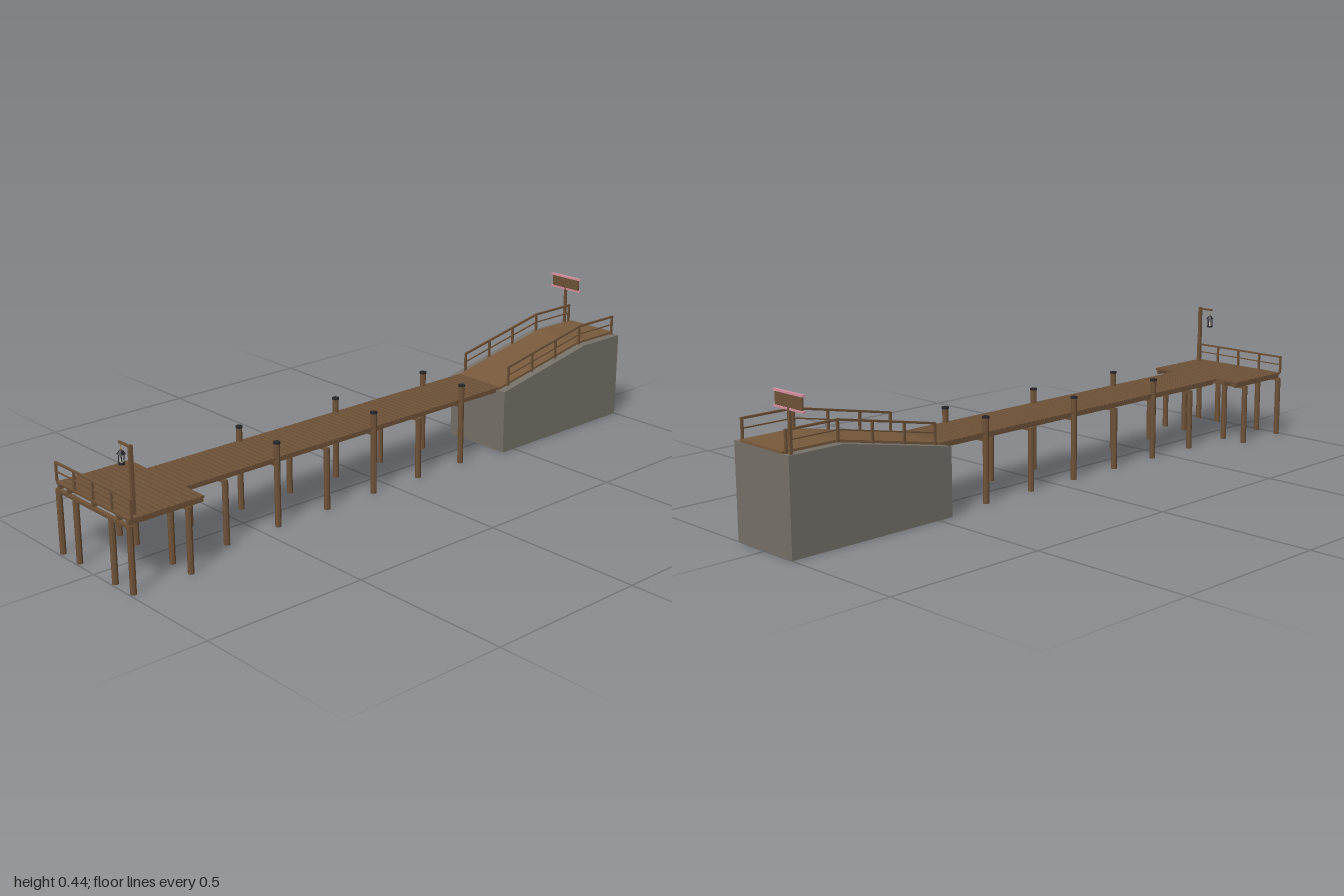
import * as THREE from 'three';

const mat = (color, extra = {}) => new THREE.MeshStandardMaterial({ color, flatShading: true, ...extra });
const WOOD = mat(0x6e5238), PATH = mat(0x785a3c), STONE = mat(0x757068);
const SHELL = mat(0x757068, { side: THREE.DoubleSide });
const IRON = mat(0x26262a), PINK = mat(0xd8919f), BRASS = mat(0xa08a40);

function add(parent, name, geo, material, x = 0, y = 0, z = 0) {
  const m = new THREE.Mesh(geo, material);
  m.name = name;
  m.position.set(x, y, z);
  parent.add(m);
  return m;
}
// box given by its centre in x and z and its bottom and top heights
const box = (p, name, m, x, z, y0, y1, w, d) =>
  add(p, name, new THREE.BoxGeometry(w, y1 - y0, d), m, x, (y0 + y1) / 2, z);
const pole = (p, name, m, x, z, y0, y1, r, sides = 8) =>
  add(p, name, new THREE.CylinderGeometry(r, r, y1 - y0, sides), m, x, (y0 + y1) / 2, z);
// square bar between two points
function bar(p, name, m, a, b, t) {
  const A = new THREE.Vector3(...a), B = new THREE.Vector3(...b);
  const mesh = add(p, name, new THREE.BoxGeometry(t, t, A.distanceTo(B)), m);
  mesh.position.copy(A).lerp(B, 0.5);
  mesh.lookAt(B);
  return mesh;
}
// prism across x from a [z, y] outline
function prism(outline, width) {
  const s = new THREE.Shape(outline.map(([z, y]) => new THREE.Vector2(z, y)));
  const g = new THREE.ExtrudeGeometry(s, { depth: width, bevelEnabled: false });
  return g.translate(0, 0, -width / 2).rotateY(-Math.PI / 2);
}
function group(parent, name) {
  const g = new THREE.Group();
  g.name = name;
  parent.add(g);
  return g;
}

// planks laid across x between z0 and z1
function planks(p, z0, z1, width, count) {
  const pitch = (z1 - z0) / count;
  for (let i = 0; i < count; i++)
    box(p, 'plank', WOOD, 0, z0 + pitch * (i + 0.5), 0.205, 0.211, width, pitch * 0.82);
}

function buildPier(root) {
  const deck = group(root, 'deck');
  planks(deck, -0.46, 0.755, 0.178, 66);
  planks(deck, 0.755, 0.993, 0.346, 13);

  // long joists under the planks
  const frame = group(root, 'frame');
  for (const x of [-0.075, -0.025, 0.025, 0.075])
    box(frame, 'walkwayJoist', WOOD, x, 0.15, 0.192, 0.205, 0.009, 1.2);
  for (const x of [-0.163, -0.118, 0.118, 0.163])
    box(frame, 'platformJoist', WOOD, x, 0.874, 0.192, 0.205, 0.009, 0.235);
  box(frame, 'platformJoist', WOOD, 0, 0.874, 0.192, 0.205, 0.009, 0.235);

  // pile rows with a cross beam each; every other row from the third stands tall
  const piles = group(root, 'piles');
  for (let i = 0; i < 8; i++) {
    const z = 0.988 - i * 0.1825;
    const wide = i < 2;
    const tall = i >= 3 && i % 2 === 1;
    box(frame, 'crossBeam', WOOD, 0, z, 0.183, 0.192, wide ? 0.35 : 0.182, 0.012);
    for (const s of [-1, 1]) {
      pole(piles, 'pile', WOOD, s * 0.085, z, 0, tall ? 0.252 : 0.188, 0.009);
      if (tall) pole(piles, 'pileCap', IRON, s * 0.085, z, 0.251, 0.257, 0.0105);
      if (wide) pole(piles, 'outerPile', WOOD, s * 0.168, z, 0, 0.188, 0.009);
    }
  }
}

function buildEndRail(root) {
  const rail = group(root, 'endRailing');
  const z = 0.987;
  for (const x of [-0.176, -0.088, 0, 0.088, 0.176])
    box(rail, 'railPost', WOOD, x, z, 0.21, 0.265, 0.006, 0.006);
  box(rail, 'topRail', WOOD, 0, z, 0.262, 0.267, 0.358, 0.007);
  box(rail, 'midRail', WOOD, 0, z, 0.237, 0.24, 0.352, 0.004);
}

function buildLamp(root) {
  const lamp = group(root, 'lampPost');
  const z = 0.963, x = 0.108;
  box(lamp, 'post', WOOD, 0.151, z, 0.208, 0.4, 0.01, 0.01);
  box(lamp, 'arm', WOOD, 0.127, z, 0.392, 0.398, 0.052, 0.006);
  const lantern = group(lamp, 'lantern');
  pole(lantern, 'hook', BRASS, x, z, 0.374, 0.393, 0.0009, 6);
  add(lantern, 'ring', new THREE.TorusGeometry(0.0022, 0.0006, 6, 12), BRASS, x, 0.379, z);
  add(lantern, 'roof', new THREE.CylinderGeometry(0.003, 0.0125, 0.011, 6), IRON, x, 0.3695, z);
  pole(lantern, 'base', IRON, x, z, 0.335, 0.339, 0.0095, 6);
  pole(lantern, 'topRing', IRON, x, z, 0.362, 0.365, 0.0095, 6);
  for (let i = 0; i < 6; i++) {
    const a = (i / 6) * Math.PI * 2;
    pole(lantern, 'cageBar', IRON, x + 0.0082 * Math.sin(a), z + 0.0082 * Math.cos(a), 0.337, 0.364, 0.0011, 4);
  }
  pole(lantern, 'candle', mat(0xe8dcb8), x, z, 0.339, 0.35, 0.0025, 8);
}

function buildRamp(root) {
  const ramp = group(root, 'ramp');
  const zA = -0.45, zB = -0.825, zC = -1, yA = 0.202, yB = 0.276, w = 0.234;

  // stone slope, then an open-bottomed landing
  add(ramp, 'stoneSlope', prism([[zA, 0], [zA, yA], [zB, yB], [zB, 0]], w), STONE);
  const zm = (zB + zC) / 2, len = zB - zC;
  for (const s of [-1, 1]) {
    const side = add(ramp, 'landingSide', new THREE.PlaneGeometry(len, yB), SHELL, s * w / 2, yB / 2, zm);
    side.rotation.y = s * Math.PI / 2;
  }
  add(ramp, 'landingBack', new THREE.PlaneGeometry(w, yB), SHELL, 0, yB / 2, zC).rotation.y = Math.PI;
  add(ramp, 'landingTop', new THREE.PlaneGeometry(w, len), SHELL, 0, yB, zm).rotation.x = -Math.PI / 2;

  // wooden path over both
  const t = 0.007;
  add(ramp, 'path', prism([[zA, yA], [zA, yA + t], [zB, yB + t], [zC, yB + t], [zC, yB], [zB, yB]], 0.18), PATH);

  // side railings follow the slope
  const ground = z => yA + (yB - yA) * Math.min(1, (zA - z) / (zA - zB));
  const stops = [-0.49, -0.6, -0.71, -0.825, -0.99];
  for (const s of [-1, 1]) {
    const rail = group(ramp, s > 0 ? 'leftRailing' : 'rightRailing');
    const x = s * 0.094;
    for (const z of stops)
      box(rail, 'railPost', WOOD, x, z, ground(z) - 0.002, ground(z) + 0.062, 0.006, 0.007);
    for (const [a, b] of [[stops[0], zB], [zB, stops[4] - 0.004]]) {
      bar(rail, 'topRail', WOOD, [x, ground(a) + 0.061, a], [x, ground(b) + 0.061, b], 0.006);
      bar(rail, 'midRail', WOOD, [x, ground(a) + 0.034, a], [x, ground(b) + 0.034, b], 0.0035);
    }
  }
}

function buildSign(root) {
  const sign = group(root, 'sign');
  const x = -0.109, z = -0.987;
  box(sign, 'signPost', WOOD, x, z, 0.275, 0.397, 0.008, 0.008);
  box(sign, 'signBoard', WOOD, x, z, 0.396, 0.433, 0.112, 0.005);
  for (const y of [0.391, 0.432])
    box(sign, 'signTrim', PINK, x, z, y, y + 0.006, 0.124, 0.008);
}

export function createModel() {
  const root = new THREE.Group();
  root.name = 'pier';
  buildPier(root);
  buildEndRail(root);
  buildLamp(root);
  buildRamp(root);
  buildSign(root);
  return root;
}
